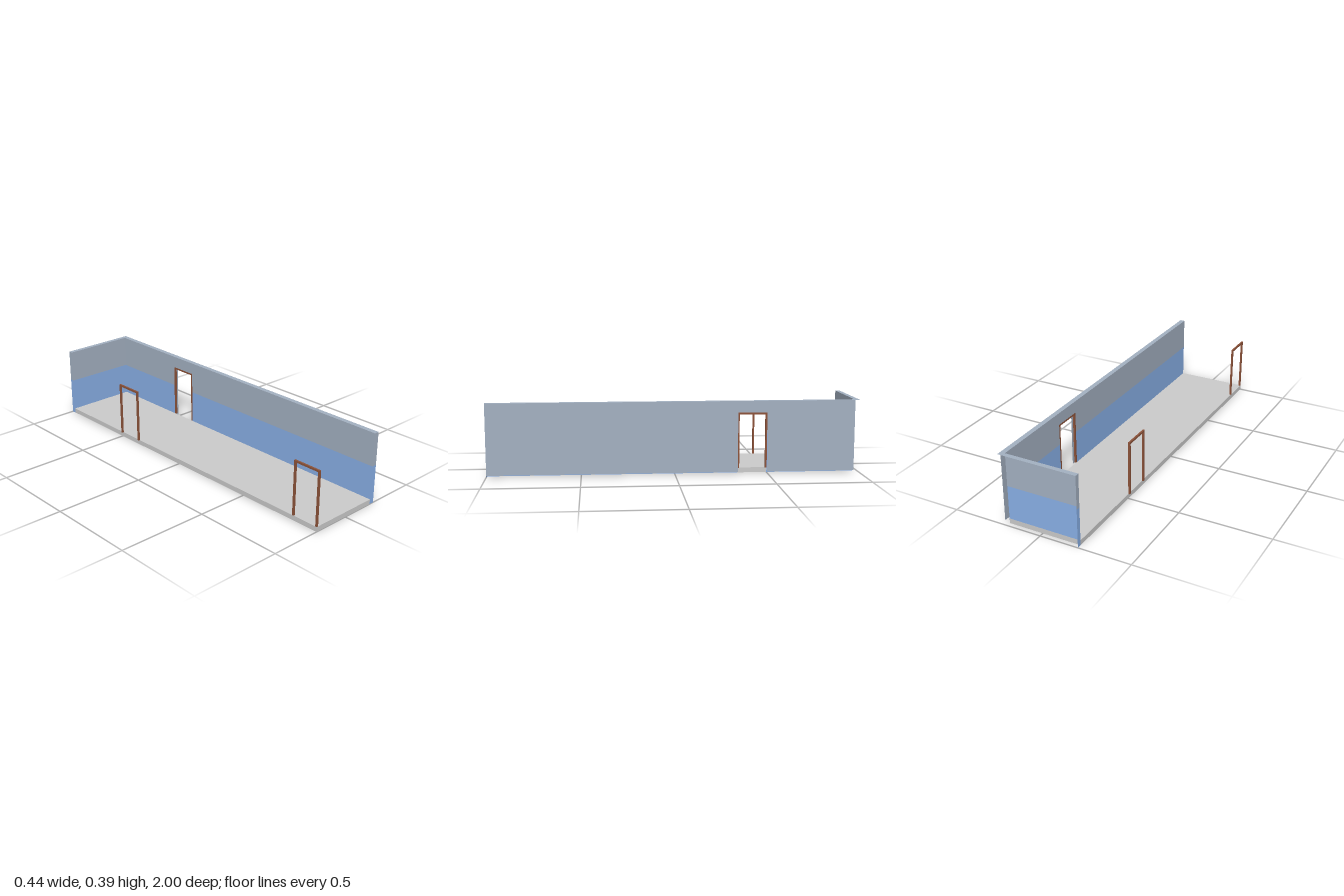
import * as THREE from 'three';

const mat = (color, side = THREE.FrontSide) =>
  new THREE.MeshStandardMaterial({ color, side });

export function createModel() {
  const root = new THREE.Group();
  const upper = mat(0xa4b1c2, THREE.DoubleSide);
  const lower = mat(0x89b0e7, THREE.DoubleSide);
  const floorMat = mat(0xcccccc);
  const wood = mat(0x8d533a);

  const left = -0.213, inner = 0.193, outer = 0.22;
  const back = -1, innerBack = -0.975, front = 1;
  const floorTop = 0.027, top = 0.393, split = 0.212;
  const doorA = -0.5, doorB = -0.34, doorTop = 0.327, bar = 0.01;

  const add = (parent, name, geometry, material, x, y, z) => {
    const m = new THREE.Mesh(geometry, material);
    m.name = name;
    m.position.set(x, y, z);
    parent.add(m);
    return m;
  };
  // thin upright sheet lying along z, at a fixed x
  const sideSheet = (name, material, x, z0, z1, y0, y1) => {
    const m = add(root, name, new THREE.PlaneGeometry(z1 - z0, y1 - y0), material,
      x, (y0 + y1) / 2, (z0 + z1) / 2);
    m.rotation.y = Math.PI / 2;
  };
  // thin upright sheet lying along x, at a fixed z
  const crossSheet = (name, material, z, x0, x1, y0, y1) =>
    add(root, name, new THREE.PlaneGeometry(x1 - x0, y1 - y0), material,
      (x0 + x1) / 2, (y0 + y1) / 2, z);

  // floor slab
  add(root, 'floor', new THREE.BoxGeometry(inner - left - 0.0005, floorTop, front - innerBack),
    floorMat, (left + inner) / 2, floorTop / 2, (front + innerBack) / 2);

  // inner long wall, two-tone, with the door opening
  for (const [z0, z1] of [[innerBack, doorA], [doorB, front]]) {
    sideSheet('innerWallLower', lower, inner, z0, z1, 0, split);
    sideSheet('innerWallUpper', upper, inner, z0, z1, split, top);
  }
  sideSheet('doorLintelWall', upper, inner, doorA, doorB, doorTop, top);

  // outer long wall, interrupted at the door bay
  sideSheet('outerWallRear', upper, outer, innerBack, doorA, 0.008, top);
  sideSheet('outerWallFront', upper, outer, doorB, front, 0.008, top);

  // back wall and the two narrow end strips
  crossSheet('backWallLower', lower, innerBack, left, inner, floorTop, split);
  crossSheet('backWallUpper', upper, innerBack, left, inner, split, top);
  crossSheet('frontEndLower', lower, front, inner, outer, 0, split);
  crossSheet('frontEndUpper', upper, front, inner, outer, split, top);
  sideSheet('backEndLower', lower, left, back, innerBack, 0, split);
  sideSheet('backEndUpper', upper, left, back, innerBack, split, top);

  // L-shaped cap over both walls (shape y becomes -z)
  const cap = new THREE.Shape([
    [left, -back], [left, -innerBack], [inner, -innerBack],
    [inner, -front], [outer, -front], [outer, -back],
  ].map(([x, y]) => new THREE.Vector2(x, y)));
  add(root, 'wallCap', new THREE.ShapeGeometry(cap), upper, 0, top, 0).rotation.x = -Math.PI / 2;

  // door frames: two posts and a head
  const doorFrame = (name, x, z0, z1) => {
    const g = new THREE.Group();
    g.name = name;
    const h = doorTop - floorTop;
    for (const z of [z0 + bar / 2, z1 - bar / 2])
      add(g, 'post', new THREE.BoxGeometry(bar, h, bar), wood, x, floorTop + h / 2, z);
    add(g, 'head', new THREE.BoxGeometry(bar, bar, z1 - z0 - 2 * bar), wood,
      x, doorTop - bar / 2, (z0 + z1) / 2);
    root.add(g);
  };
  doorFrame('wallDoorFrame', inner + 0.005, doorA, doorB);
  doorFrame('middleDoorFrame', left - 0.004, doorA, doorB);
  doorFrame('frontDoorFrame', left + 0.005, 0.84, front);

  return root;
}
